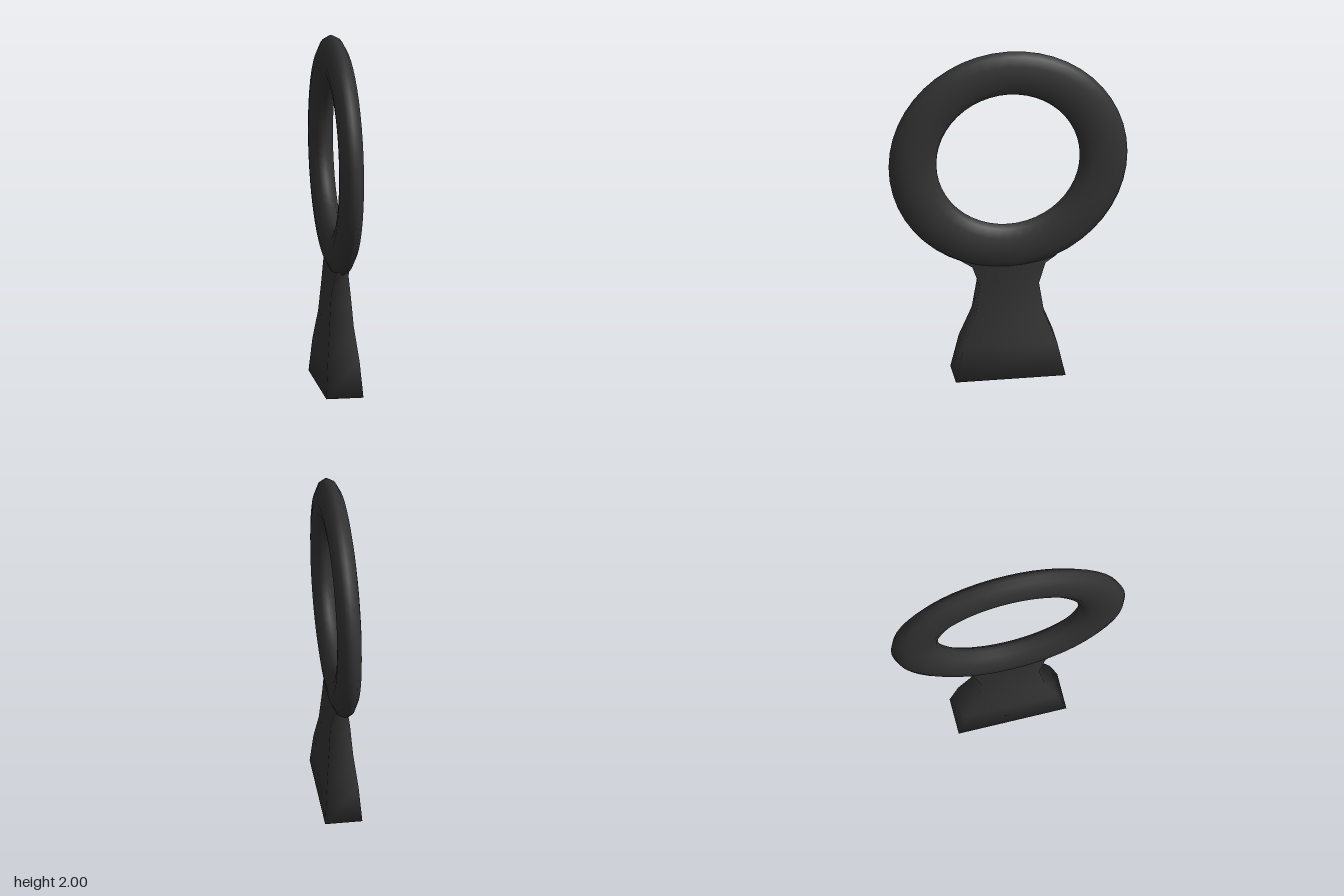
import * as THREE from 'three';

const material = new THREE.MeshStandardMaterial({ color: 0x333333 });

// Rectangular sections stacked upward, with corners shared for soft shading
function loftRects(sections) {
  const positions = [], index = [];
  for (const [y, hx, hz] of sections) {
    positions.push(hx, y, hz, hx, y, -hz, -hx, y, -hz, -hx, y, hz);
  }
  for (let s = 0; s < sections.length - 1; s++) {
    for (let i = 0; i < 4; i++) {
      const a = s * 4 + i, b = s * 4 + (i + 1) % 4;
      index.push(a, b, b + 4, a, b + 4, a + 4);
    }
  }
  const t = (sections.length - 1) * 4;
  index.push(0, 2, 1, 0, 3, 2, t, t + 1, t + 2, t, t + 2, t + 3);
  const geometry = new THREE.BufferGeometry();
  geometry.setAttribute('position', new THREE.Float32BufferAttribute(positions, 3));
  geometry.setIndex(index);
  geometry.computeVertexNormals();
  return geometry;
}

export function createModel() {
  const group = new THREE.Group();

  // Flattened ring standing in the y-z plane
  const ringGeometry = new THREE.TorusGeometry(0.54, 0.135, 12, 48);
  ringGeometry.scale(1, 1, 0.51);
  ringGeometry.rotateY(Math.PI / 2);
  const ring = new THREE.Mesh(ringGeometry, material);
  ring.name = 'ring';
  ring.position.y = 1.325;

  // Tapered pedestal: [height, half thickness, half width], its top hidden in the ring
  const pedestal = new THREE.Mesh(loftRects([
    [0, 0.105, 0.31],
    [0.2, 0.09, 0.265],
    [0.38, 0.069, 0.195],
    [0.565, 0.055, 0.167],
    [0.68, 0.037, 0.207],
    [0.72, 0.03, 0.27],
    [0.78, 0.02, 0.27],
  ]), material);
  pedestal.name = 'pedestal';

  group.add(ring, pedestal);
  return group;
}
